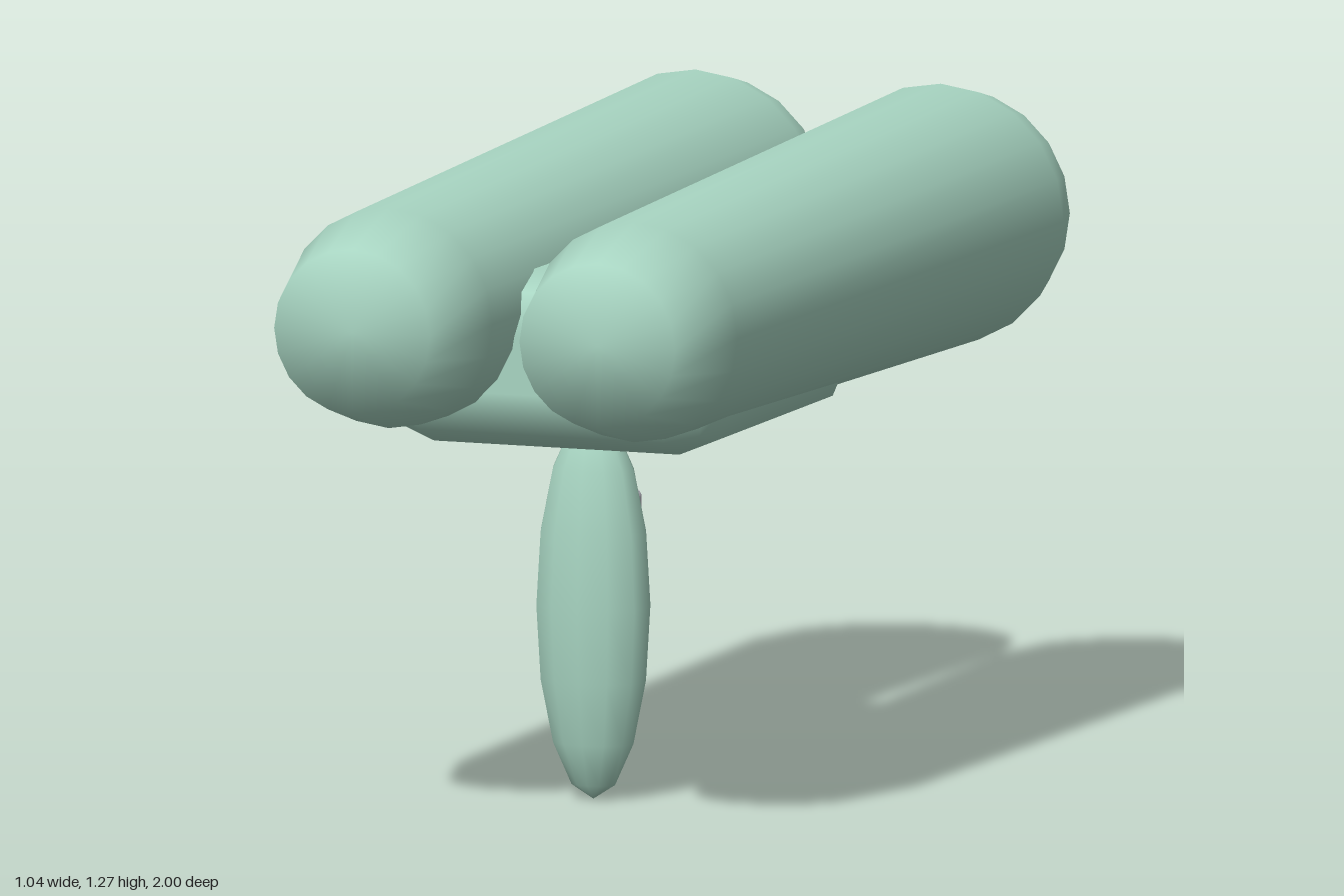
import * as THREE from 'three';
import { RoundedBoxGeometry } from 'three/addons/geometries/RoundedBoxGeometry.js';

export function createModel() {
  const model = new THREE.Group();
  model.name = 'twinThruster';

  const shell = new THREE.MeshStandardMaterial({ name: 'mint shell', color: 0xa8d5c2 });
  const trim = new THREE.MeshStandardMaterial({ name: 'pale grey trim', color: 0xbfbfc8 });
  const dark = new THREE.MeshStandardMaterial({ name: 'dark blue recess', color: 0x34495e });

  const add = (parent, name, geometry, material, x = 0, y = 0, z = 0) => {
    const mesh = new THREE.Mesh(geometry, material);
    mesh.name = name;
    mesh.position.set(x, y, z);
    parent.add(mesh);
    return mesh;
  };

  // Lathe turned so that its axis runs along z; points are [radius, z]
  const latheZ = (points) => new THREE.LatheGeometry(
    points.map(([r, z]) => new THREE.Vector2(r, z)), 20).rotateX(Math.PI / 2);

  const bodyGeometry = latheZ([[0.235, -0.98], [0.26, -0.88], [0.22, 0.8], [0.165, 1], [0, 1]]);
  const ductGeometry = latheZ([[0.195, -0.82], [0.195, -0.98], [0.235, -0.98]]);
  const ringGeometry = new THREE.TorusGeometry(0.215, 0.02, 8, 20);
  const discGeometry = new THREE.CircleGeometry(0.195, 20).rotateY(Math.PI);
  const hubGeometry = new THREE.SphereGeometry(0.026, 10, 8);
  const bladeGeometry = new THREE.SphereGeometry(1, 10, 8).scale(0.023, 0.055, 0.016).translate(0, 0.07, 0);

  // Two tapered tubes, each with a ducted propeller at the back
  for (const [side, x] of [['left', 0.26], ['right', -0.26]]) {
    const tube = new THREE.Group();
    tube.name = `${side}Tube`;
    tube.position.set(x, 1.01, 0);
    model.add(tube);
    add(tube, 'tubeBody', bodyGeometry, shell);
    add(tube, 'ductWall', ductGeometry, shell);
    add(tube, 'rearRing', ringGeometry, trim, 0, 0, -0.98);
    add(tube, 'ductBack', discGeometry, dark, 0, 0, -0.83);

    const propeller = new THREE.Group();
    propeller.name = 'propeller';
    propeller.position.z = -0.88;
    propeller.rotation.z = 0.2;
    tube.add(propeller);
    add(propeller, 'hub', hubGeometry, trim);
    for (let i = 0; i < 4; i++) {
      add(propeller, 'blade', bladeGeometry, trim).rotation.z = i * Math.PI / 2;
    }
  }

  // Chamfered block joining the tubes
  add(model, 'bridge', new RoundedBoxGeometry(0.76, 0.355, 0.86, 1, 0.12), shell, 0, 0.9075, 0.24);

  // Grip and trigger
  add(model, 'grip', new THREE.SphereGeometry(1, 12, 8).scale(0.12, 0.387, 0.088), shell, 0, 0.387, 0.35);
  add(model, 'trigger', new RoundedBoxGeometry(0.1, 0.17, 0.04, 3, 0.018), trim, 0, 0.52, 0.22);

  return model;
}
